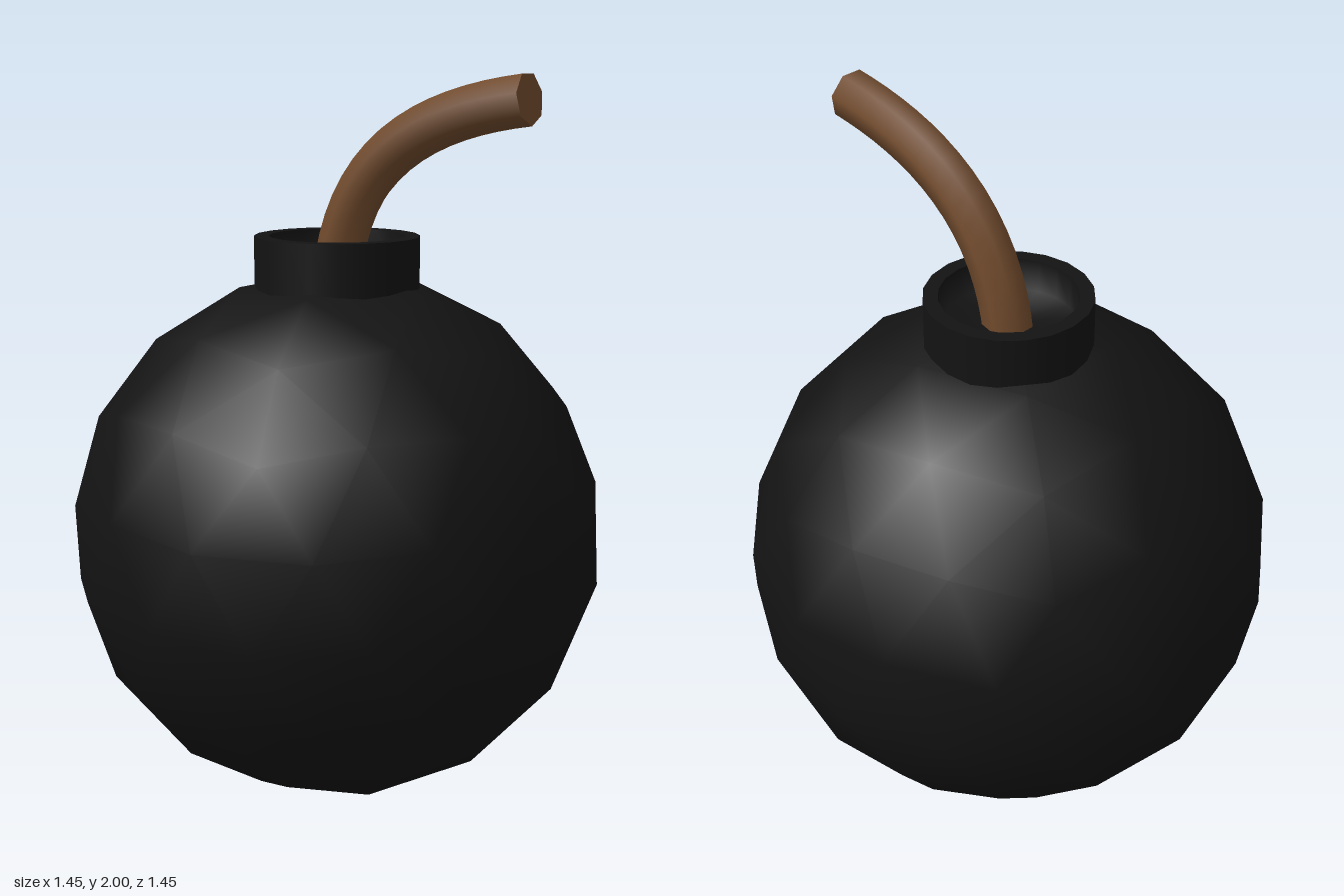
import * as THREE from 'three';

const R = 0.737; // body radius
const black = new THREE.MeshStandardMaterial({ color: 0x131313 });
const brown = new THREE.MeshStandardMaterial({ color: 0x704a2c });

// Icosahedron with a vertex at each pole, every edge split in three along the sphere
function geodesicSphere(radius, split) {
  const ring = (y, turn) => Array.from({ length: 5 }, (_, i) => {
    const a = (i * 72 + turn) * Math.PI / 180, r = 2 / Math.sqrt(5);
    return new THREE.Vector3(r * Math.cos(a), y, -r * Math.sin(a));
  });
  const h = 1 / Math.sqrt(5);
  const top = new THREE.Vector3(0, 1, 0), bottom = new THREE.Vector3(0, -1, 0);
  const U = ring(h, 0), L = ring(-h, 36);
  const theta = Math.acos(h);
  const normals = [];
  const addFace = (A, B, C) => {
    const p = (i, j) => {
      const w = n => Math.sin(n / split * theta);
      return new THREE.Vector3()
        .addScaledVector(A, w(split - i - j))
        .addScaledVector(B, w(i))
        .addScaledVector(C, w(j))
        .normalize();
    };
    const tri = (...pts) => pts.forEach(v => normals.push(v.x, v.y, v.z));
    for (let i = 0; i < split; i++) {
      for (let j = 0; j < split - i; j++) {
        tri(p(i, j), p(i + 1, j), p(i, j + 1));
        if (i + j < split - 1) tri(p(i + 1, j), p(i + 1, j + 1), p(i, j + 1));
      }
    }
  };
  for (let i = 0; i < 5; i++) {
    const n = (i + 1) % 5;
    addFace(top, U[i], U[n]);
    addFace(U[i], L[i], U[n]);
    addFace(L[i], L[n], U[n]);
    addFace(bottom, L[n], L[i]);
  }
  const g = new THREE.BufferGeometry();
  g.setAttribute('position', new THREE.Float32BufferAttribute(normals.map(v => v * radius), 3));
  g.setAttribute('normal', new THREE.Float32BufferAttribute(normals, 3));
  return g;
}

// Seven-sided rod bent along a curve in the xy plane
function bentRod(curve, radius) {
  const g = new THREE.CylinderGeometry(radius, radius, 1, 7, 16, false, Math.PI / 2);
  const pos = g.attributes.position, nor = g.attributes.normal;
  for (let i = 0; i < pos.count; i++) {
    const t = THREE.MathUtils.clamp(pos.getY(i) + 0.5, 0, 1);
    const c = curve.getPointAt(t), d = curve.getTangentAt(t);
    const x = pos.getX(i), nx = nor.getX(i), ny = nor.getY(i);
    pos.setXY(i, c.x + x * d.y, c.y - x * d.x);
    nor.setXY(i, nx * d.y + ny * d.x, -nx * d.x + ny * d.y);
  }
  return g;
}

export function createModel() {
  const model = new THREE.Group();
  const add = (parent, name, geometry, material) => {
    const mesh = new THREE.Mesh(geometry, material);
    mesh.name = name;
    parent.add(mesh);
    return mesh;
  };

  // Round body
  add(model, 'body', geodesicSphere(R, 3), black).position.y = R;

  // Collar: sharp outer edges, hollow inside
  const collar = new THREE.Group();
  collar.name = 'collar';
  model.add(collar);
  const profiles = {
    collarWall: [[0.225, 1.4], [0.225, 1.565]],
    collarRim: [[0.225, 1.565], [0.185, 1.565]],
    collarRecess: [[0.185, 1.565], [0.18, 1.478], [0, 1.478]],
  };
  for (const [name, pts] of Object.entries(profiles)) {
    const points = pts.map(([x, y]) => new THREE.Vector2(x, y));
    add(collar, name, new THREE.LatheGeometry(points, 20), black);
  }

  // Fuse rising from the collar and bending to the side
  const path = new THREE.CubicBezierCurve(
    new THREE.Vector2(0, 1.45), new THREE.Vector2(0.04, 1.78),
    new THREE.Vector2(0.28, 1.9), new THREE.Vector2(0.582, 1.937));
  add(model, 'fuse', bentRod(path, 0.068), brown);

  return model;
}
